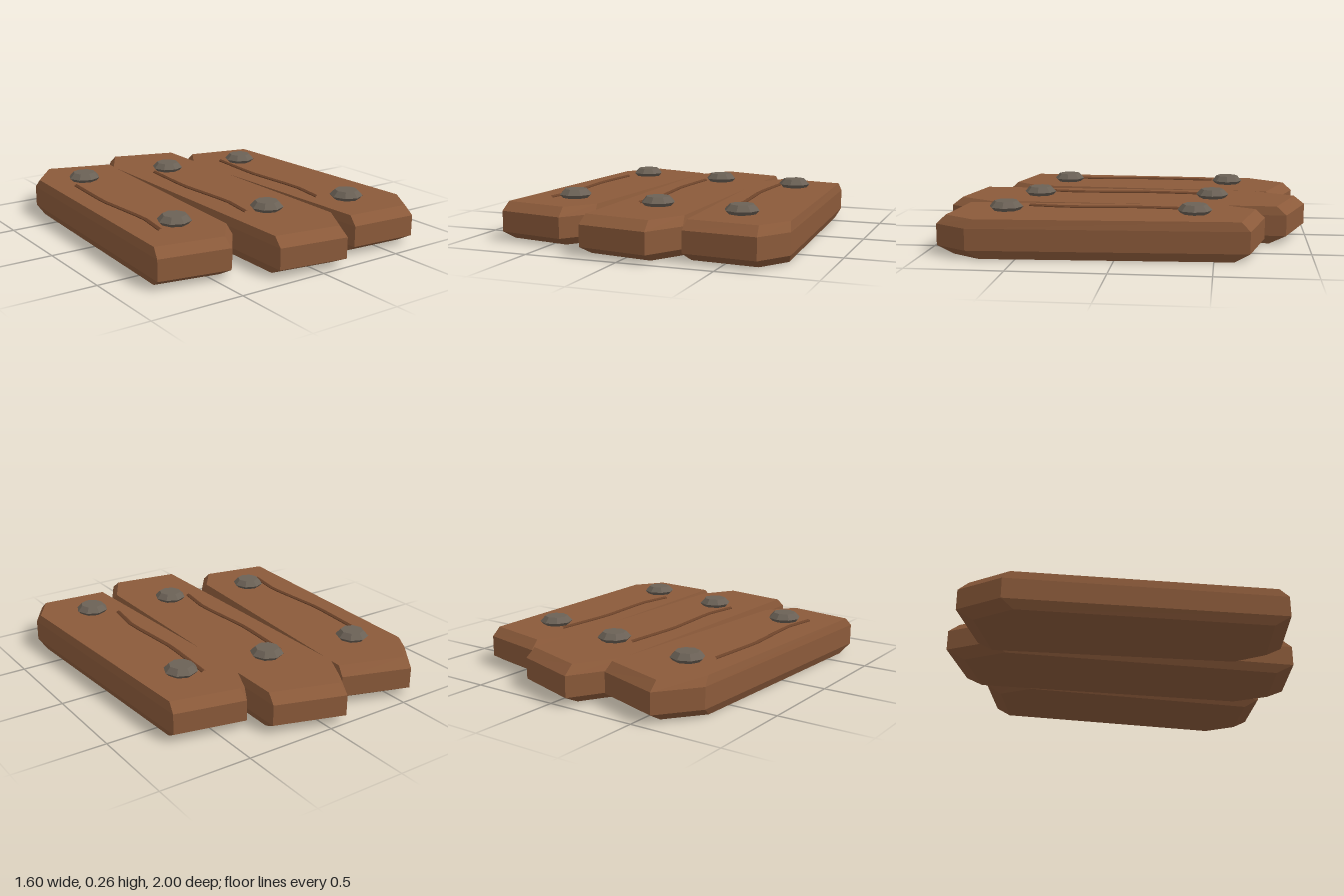
import * as THREE from 'three';

const wood = new THREE.MeshStandardMaterial({ name: 'wood', color: 0x8b5a3a, flatShading: true });
const darkWood = new THREE.MeshStandardMaterial({ name: 'dark wood', color: 0x6b4229, flatShading: true });
const iron = new THREE.MeshStandardMaterial({ name: 'iron', color: 0x6b6156, flatShading: true });

// Plank levels: height, x scale, z scale (chamfered below and above)
const levels = [[0, 0.91, 0.9], [0.047, 1, 1], [0.16, 1, 1], [0.207, 0.96, 0.94]];

// Stack scaled copies of a six-cornered outline and close both ends
function plankGeometry(outline) {
  const xs = outline.map(p => p[0]), zs = outline.map(p => p[1]);
  const cx = (Math.min(...xs) + Math.max(...xs)) / 2;
  const cz = (Math.min(...zs) + Math.max(...zs)) / 2;
  const n = outline.length, positions = [], index = [];
  for (const [y, sx, sz] of levels) {
    for (const [x, z] of outline) positions.push(cx + (x - cx) * sx, y, cz + (z - cz) * sz);
  }
  for (let l = 0; l < levels.length - 1; l++) {
    for (let i = 0; i < n; i++) {
      const a = l * n + i, b = l * n + (i + 1) % n;
      index.push(b, a, a + n, b, a + n, b + n);
    }
  }
  const top = (levels.length - 1) * n;
  for (let i = 1; i < n - 1; i++) {
    index.push(0, i, i + 1, top, top + i + 1, top + i);
  }
  const indexed = new THREE.BufferGeometry();
  indexed.setAttribute('position', new THREE.Float32BufferAttribute(positions, 3));
  indexed.setIndex(index);
  const geometry = indexed.toNonIndexed();
  geometry.computeVertexNormals();
  return geometry;
}

// Eight-sided faceted bolt head
const boltGeometry = new THREE.LatheGeometry(
  [[0, 0.2], [0.07, 0.205], [0.091, 0.226], [0.063, 0.256], [0, 0.256]].map(p => new THREE.Vector2(...p)), 8);

// Thin raised grain line with slight bends, relative to its plank
const grainPath = new THREE.CurvePath();
const grainPoints = [[-0.615, -0.46], [-0.637, -0.1], [-0.607, 0.29], [-0.637, 0.5]]
  .map(([x, z]) => new THREE.Vector3(x, 0.205, z));
for (let i = 0; i < 3; i++) grainPath.add(new THREE.LineCurve3(grainPoints[i], grainPoints[i + 1]));
const grainGeometry = new THREE.TubeGeometry(grainPath, 10, 0.014, 6);

const planks = [
  {
    name: 'rightPlank', grain: 0, bolts: [[-0.515, -0.555], [-0.515, 0.435]],
    outline: [[-0.745, -0.74], [-0.582, -0.955], [-0.21, -0.832], [-0.295, 0.635], [-0.42, 0.8], [-0.8, 0.73]],
  },
  {
    name: 'middlePlank', grain: 0.53, bolts: [[0.015, -0.475], [0.015, 0.515]],
    outline: [[-0.24, -0.76], [-0.098, -1], [0.275, -0.88], [0.268, 0.8], [0.152, 1], [-0.23, 0.94]],
  },
  {
    name: 'leftPlank', grain: 1.02, bolts: [[0.505, -0.395], [0.505, 0.6]],
    outline: [[0.235, -0.57], [0.35, -0.762], [0.728, -0.68], [0.798, 0.75], [0.685, 0.928], [0.3, 0.897]],
  },
];

export function createModel() {
  const model = new THREE.Group();
  model.name = 'plankPanel';
  const add = (name, geometry, material, x = 0, z = 0) => {
    const mesh = new THREE.Mesh(geometry, material);
    mesh.name = name;
    mesh.position.set(x, 0, z);
    model.add(mesh);
  };
  for (const plank of planks) {
    add(plank.name, plankGeometry(plank.outline), wood);
    add(plank.name + 'Grain', grainGeometry, darkWood, plank.grain);
    for (const [x, z] of plank.bolts) add(plank.name + 'Bolt', boltGeometry, iron, x, z);
  }
  return model;
}
